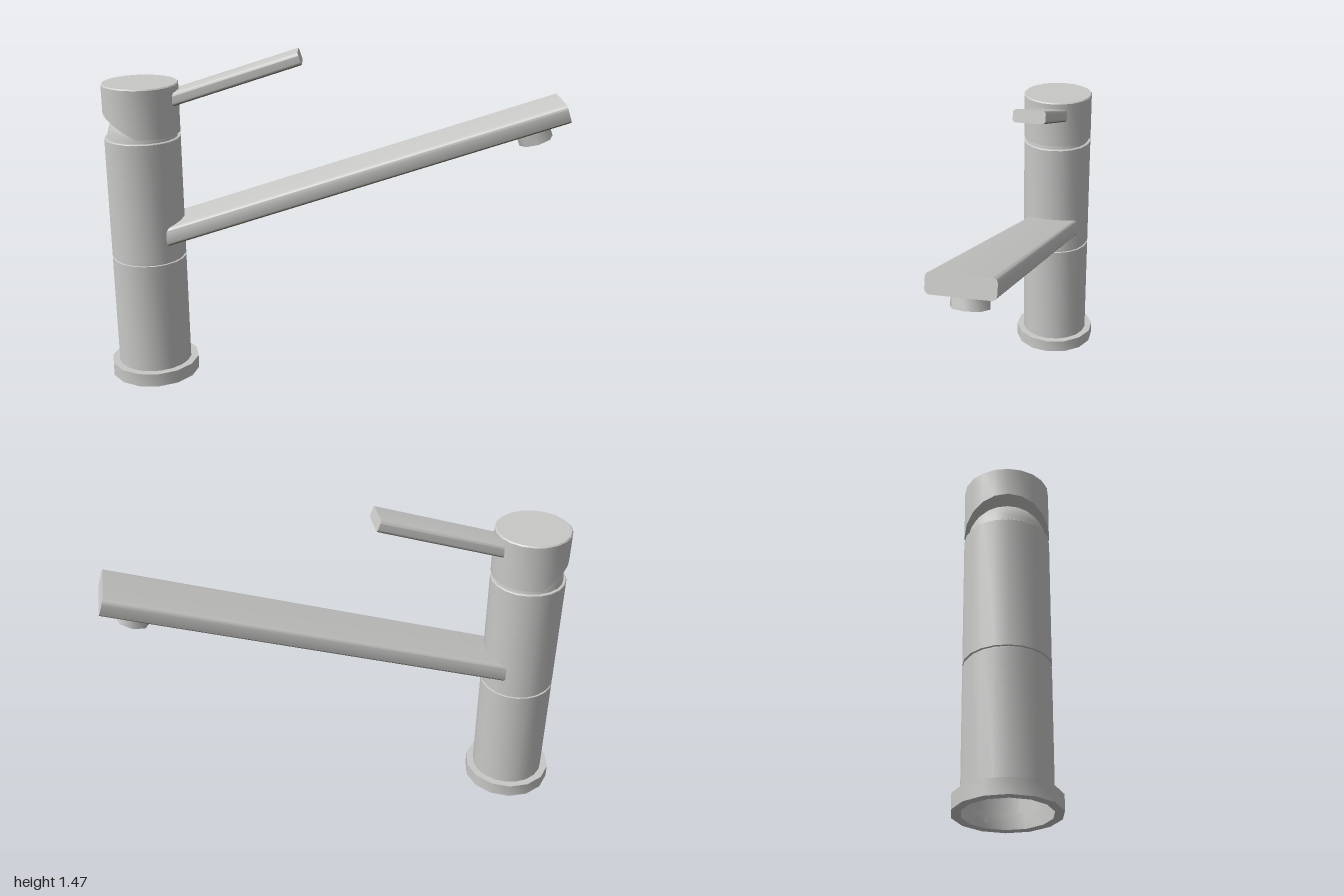
import * as THREE from 'three';
import { toCreasedNormals } from 'three/addons/utils/BufferGeometryUtils.js';

const AXIS = -0.803; // x of the column axis
const R = 0.163; // column radius
const SLOPE = Math.atan(0.325); // rise of spout and lever
const DIR = new THREE.Vector3(Math.cos(SLOPE), Math.sin(SLOPE), 0);
const UP = new THREE.Vector3(-Math.sin(SLOPE), Math.cos(SLOPE), 0);

export function createModel() {
  const group = new THREE.Group();
  const material = (name, color) => {
    const m = new THREE.MeshStandardMaterial({ color, side: THREE.DoubleSide });
    m.name = name;
    return m;
  };
  const steel = material('brushed steel', 0xc8c8c7);
  const bronze = material('dark underside', 0x837a67);

  const add = (name, geometry, mat = steel, crease = 0.7) => {
    const mesh = new THREE.Mesh(toCreasedNormals(geometry, crease), mat);
    mesh.name = name;
    group.add(mesh);
    return mesh;
  };
  const turned = (points, sides) =>
    new THREE.LatheGeometry(points.map(([r, y]) => new THREE.Vector2(r, y)), sides, Math.PI / 2);

  // base ring, open in the middle
  add('baseRing', turned([[R, 0], [0.197, 0], [0.197, 0.06], [R, 0.06], [R, 0]], 14)).position.x = AXIS;

  // hollow column with a narrow groove between its two halves
  add('column', turned([
    [R, 0.02], [R, 0.559], [0.155, 0.56], [0.155, 0.569], [R, 0.57],
    [R, 1.099], [0.16, 1.102], [0.14, 1.102],
  ], 20)).position.x = AXIS;

  // dome on which the cap tilts
  const dome = [];
  for (let i = 0; i <= 8; i++) {
    const a = (i / 8) * Math.PI / 2;
    dome.push([0.15 * Math.cos(a), 1.1 + 0.15 * Math.sin(a)]);
  }
  add('dome', turned(dome, 20)).position.x = AXIS;

  // cap, with the underside sloping up towards the back of the handle
  const cap = turned([[0, 1.122], [R, 1.122], [R, 1.33], [R - 0.005, 1.335], [0, 1.335]], 20);
  const p = cap.attributes.position;
  for (let i = 0; i < p.count; i++) {
    if (p.getY(i) < 1.2) p.setY(i, 1.122 + Math.max(0, -p.getX(i)) * 0.57);
  }
  add('handleCap', cap).position.x = AXIS;

  // rounded flat bar that ends at (x, y) and runs back down the slope
  const bar = (name, width, height, r, length, x, y) => {
    const w = width / 2, h = height / 2;
    const s = new THREE.Shape();
    s.moveTo(-w + r, -h);
    s.lineTo(w - r, -h);
    s.absarc(w - r, -h + r, r, -Math.PI / 2, 0);
    s.lineTo(w, h - r);
    s.absarc(w - r, h - r, r, 0, Math.PI / 2);
    s.lineTo(-w + r, h);
    s.absarc(-w + r, h - r, r, Math.PI / 2, Math.PI);
    s.lineTo(-w, -h + r);
    s.absarc(-w + r, -h + r, r, Math.PI, Math.PI * 1.5);
    const g = new THREE.ExtrudeGeometry(s, { depth: length, bevelEnabled: false, curveSegments: 4 });
    g.translate(0, 0, -length);
    g.applyMatrix4(new THREE.Matrix4().makeBasis(new THREE.Vector3(0, 0, -1), UP, DIR));
    g.translate(x, y, 0);

    // faces that look down take the dark colour
    const mesh = add(name, g, [steel, bronze]);
    const geo = mesh.geometry, tri = new THREE.Triangle(), n = new THREE.Vector3();
    geo.clearGroups();
    for (let i = 0; i < geo.attributes.position.count; i += 3) {
      tri.setFromAttributeAndIndices(geo.attributes.position, i, i + 1, i + 2);
      geo.addGroup(i, 3, tri.getNormal(n).dot(UP) < -0.5 ? 1 : 0);
    }
  };
  bar('spout', 0.254, 0.08, 0.02, 1.795, 0.989, 1.228);
  bar('lever', 0.14, 0.055, 0.014, 0.576, -0.125, 1.445);

  // nozzle under the spout tip, with a dark recessed outlet
  const nozzleParts = [
    add('nozzle', turned([[0.061, 0], [0.073, 0], [0.073, 0.08]], 8), steel, 0.9),
    add('nozzleOutlet', turned([[0, 0.012], [0.061, 0.012], [0.061, 0]], 8), bronze, 0.9),
  ];
  for (const part of nozzleParts) {
    part.position.set(0.88, 1.085, 0);
    part.rotation.z = SLOPE;
  }

  return group;
}
